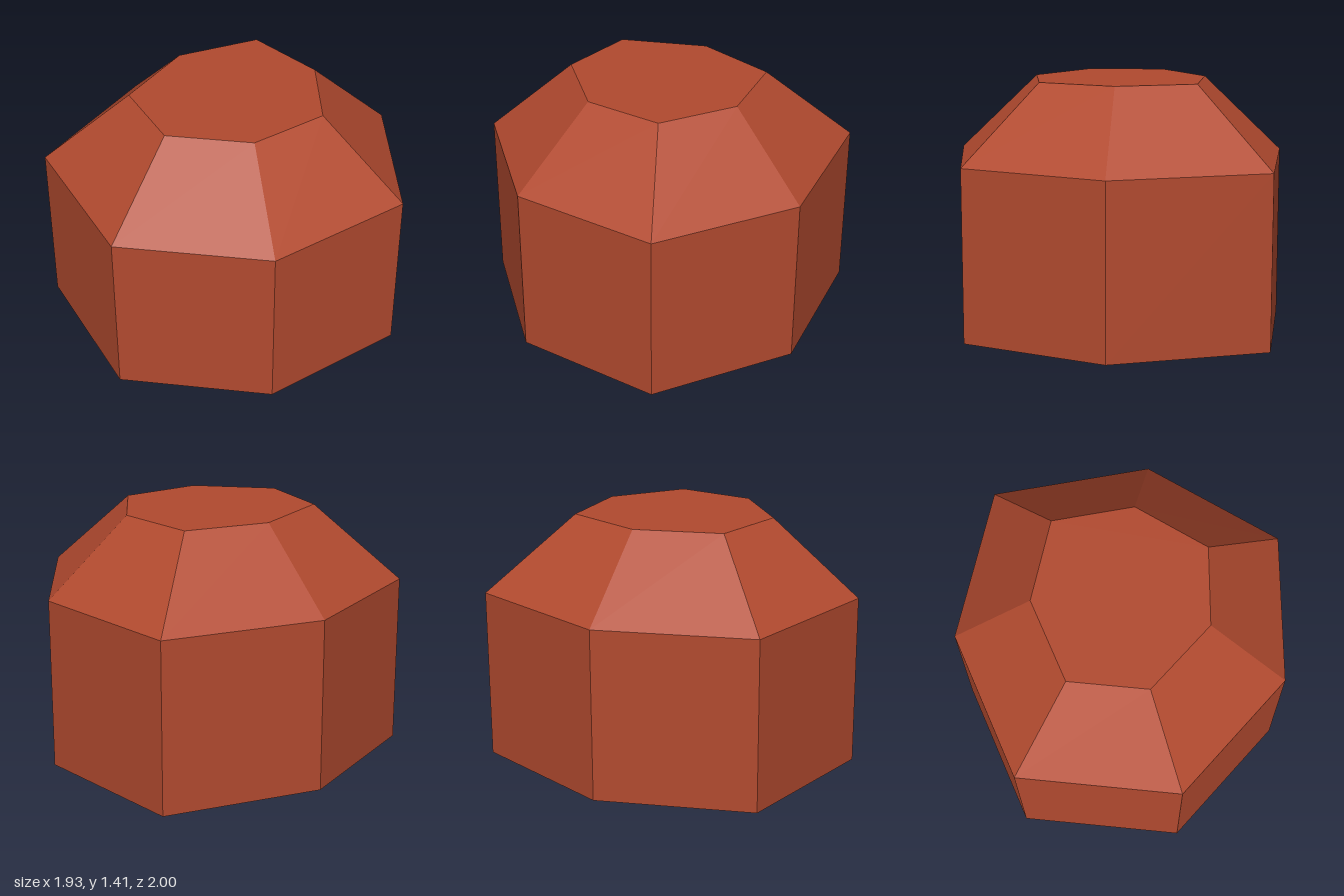
import * as THREE from 'three';

// Irregular seven-sided outlines [x, z], listed in matching order
const EAVES = [[-0.573, -1], [0.341, -0.955], [0.966, -0.344], [0.776, 0.5], [0.061, 0.998], [-0.808, 0.698], [-0.968, -0.182]];
const CROWN = [[-0.308, -0.553], [0.157, -0.53], [0.49, -0.203], [0.39, 0.24], [-0.007, 0.515], [-0.43, 0.37], [-0.517, -0.12]];
const EAVES_Y = 0.975, TOP_Y = 1.41;

const ring = (outline, y) => outline.map(([x, z]) => [x, y, z]);

function flatGeometry(points) {
  const geometry = new THREE.BufferGeometry();
  geometry.setAttribute('position', new THREE.Float32BufferAttribute(points.flat(), 3));
  geometry.computeVertexNormals();
  return geometry;
}

// Band of flat panels joining a lower ring to an upper ring
function band(lower, upper) {
  const points = [];
  lower.forEach((a, i) => {
    const j = (i + 1) % lower.length;
    points.push(a, upper[i], lower[j], lower[j], upper[i], upper[j]);
  });
  return flatGeometry(points);
}

// Flat polygon facing up
function cap(outer) {
  const points = [];
  for (let i = 1; i < outer.length - 1; i++) points.push(outer[0], outer[i + 1], outer[i]);
  return flatGeometry(points);
}

export function createModel() {
  const group = new THREE.Group();
  group.name = 'hut';
  // Open underneath, so the inside shows too
  const brickRed = new THREE.MeshStandardMaterial({ color: 0xb24a2f, side: THREE.DoubleSide, flatShading: true });
  brickRed.name = 'brickRed';

  const base = ring(EAVES, 0), eaves = ring(EAVES, EAVES_Y), crown = ring(CROWN, TOP_Y);
  const parts = { walls: band(base, eaves), roofSlopes: band(eaves, crown), roofTop: cap(crown) };
  for (const [name, geometry] of Object.entries(parts)) {
    const mesh = new THREE.Mesh(geometry, brickRed);
    mesh.name = name;
    group.add(mesh);
  }
  return group;
}
